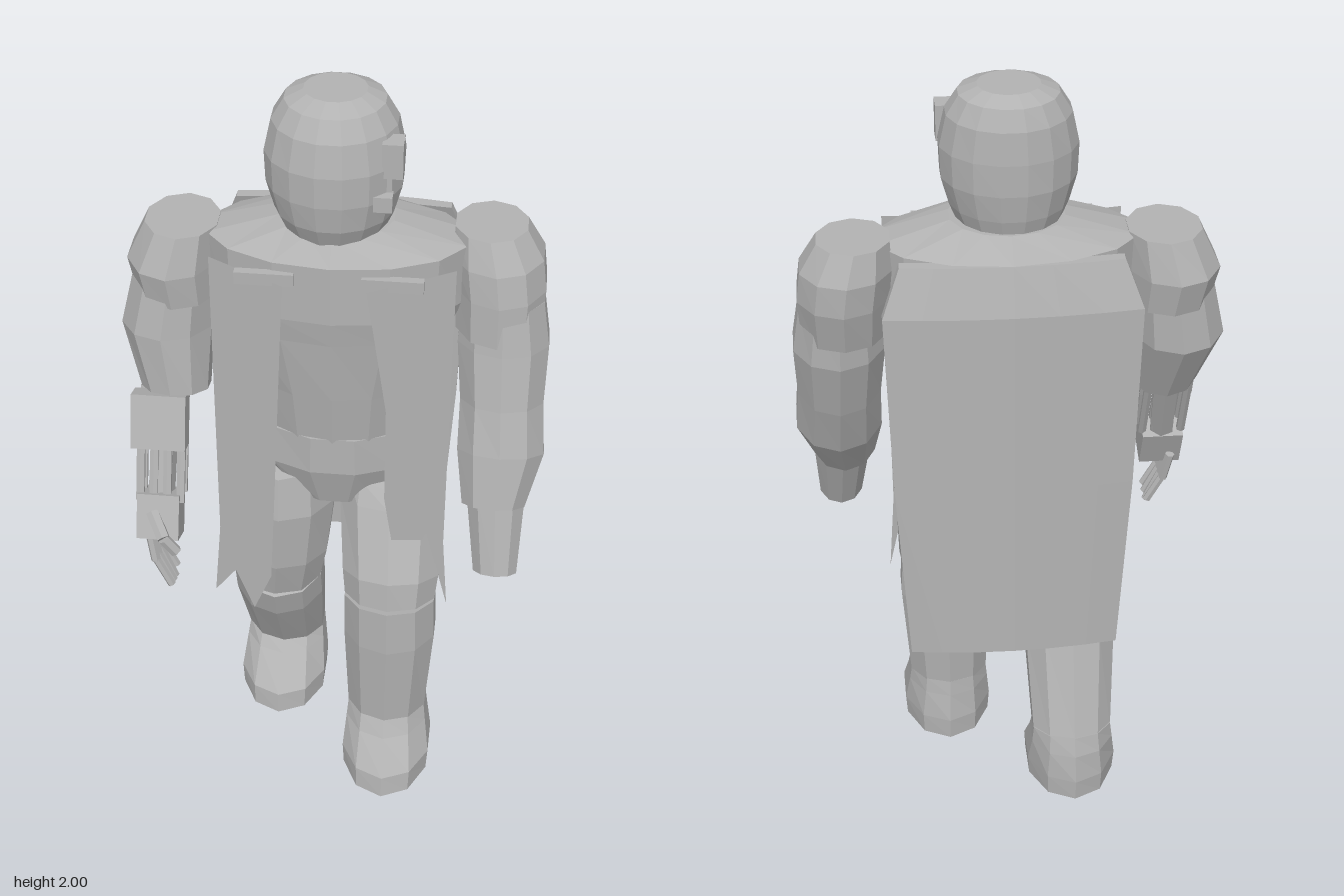
import * as THREE from 'three';

const grey = new THREE.MeshStandardMaterial({ color: 0xb2b2b2, flatShading: true });
grey.name = 'grey';
const greySheet = new THREE.MeshStandardMaterial({ color: 0xb2b2b2, flatShading: true, side: THREE.DoubleSide });
greySheet.name = 'grey cloth';

function add(parent, name, geometry, material = grey) {
  const mesh = new THREE.Mesh(geometry, material);
  mesh.name = name;
  parent.add(mesh);
  return mesh;
}

// Closed skin over rings of points, listed from top to bottom
function skin(rings) {
  const pos = [];
  const tri = (...pts) => pts.forEach((p) => pos.push(p.x, p.y, p.z));
  const n = rings[0].length;
  for (let i = 0; i < rings.length - 1; i++) {
    for (let j = 0; j < n; j++) {
      const k = (j + 1) % n, u = rings[i], l = rings[i + 1];
      tri(u[j], u[k], l[j]);
      tri(u[k], l[k], l[j]);
    }
  }
  const mid = (r) => r.reduce((s, p) => s.add(p), new THREE.Vector3()).divideScalar(n);
  const top = rings[0], bottom = rings[rings.length - 1];
  const ct = mid(top), cb = mid(bottom);
  for (let j = 0; j < n; j++) {
    const k = (j + 1) % n;
    tri(ct, top[k], top[j]);
    tri(cb, bottom[j], bottom[k]);
  }
  const g = new THREE.BufferGeometry();
  g.setAttribute('position', new THREE.Float32BufferAttribute(pos, 3));
  g.computeVertexNormals();
  return g;
}

// Elliptical sections: [x, y, z, half width, half depth, forward tilt]
function loft(sections, sides = 10) {
  const widen = 1 / Math.cos(Math.PI / sides);
  return skin(sections.map(([x, y, z, rx, rz, t = 0]) => Array.from({ length: sides }, (_, j) => {
    const a = ((j + 0.5) / sides) * Math.PI * 2, s = rz * Math.sin(a);
    return new THREE.Vector3(x + rx * widen * Math.cos(a), y + s * Math.sin(t), z + s * Math.cos(t));
  })));
}

function box(parent, name, size, at, tilt = 0) {
  const m = add(parent, name, new THREE.BoxGeometry(...size));
  m.position.set(...at);
  m.rotation.x = tilt;
  return m;
}

// Straight rod between two points
function rod(parent, name, a, b, r) {
  const p = new THREE.Vector3(...a), q = new THREE.Vector3(...b);
  const m = add(parent, name, new THREE.CylinderGeometry(r, r, p.distanceTo(q), 6));
  m.position.copy(p).lerp(q, 0.5);
  m.quaternion.setFromUnitVectors(new THREE.Vector3(0, 1, 0), q.sub(p).normalize());
}

export function createModel() {
  const model = new THREE.Group();
  model.name = 'cloakedFigure';

  // Head with eyepiece
  const head = new THREE.Group();
  head.name = 'head';
  model.add(head);
  add(head, 'skull', loft([
    [-0.005, 2, -0.04, 0.075, 0.075], [-0.005, 1.98, -0.035, 0.12, 0.12], [-0.005, 1.93, -0.03, 0.15, 0.145],
    [-0.005, 1.85, -0.025, 0.167, 0.157], [-0.005, 1.77, -0.025, 0.164, 0.157],
    [-0.005, 1.7, -0.025, 0.145, 0.147], [-0.005, 1.64, -0.03, 0.12, 0.125]], 16));
  box(head, 'eyepiece', [0.05, 0.09, 0.055], [0.14, 1.875, 0.05]);
  box(head, 'eyepieceLink', [0.02, 0.08, 0.02], [0.13, 1.81, 0.06]);
  box(head, 'mouthpiece', [0.045, 0.04, 0.035], [0.12, 1.77, 0.08]);

  // Torso and pelvis
  add(model, 'torso', loft([
    [0, 1.665, -0.04, 0.14, 0.13], [0, 1.61, -0.04, 0.32, 0.18], [0, 1.45, -0.04, 0.315, 0.18],
    [0, 1.38, -0.045, 0.285, 0.175], [0, 1.2, -0.05, 0.225, 0.16], [0, 1.05, -0.06, 0.205, 0.15]], 14));
  add(model, 'pelvis', loft([
    [0, 1.06, -0.06, 0.21, 0.155], [0, 0.95, -0.06, 0.22, 0.155], [0, 0.83, -0.06, 0.14, 0.12]], 12));

  // Legs, the left one striding forward
  const leftLeg = new THREE.Group(), rightLeg = new THREE.Group();
  leftLeg.name = 'leftLeg';
  rightLeg.name = 'rightLeg';
  model.add(leftLeg, rightLeg);
  add(leftLeg, 'thigh', loft([
    [0.15, 0.93, -0.07, 0.13, 0.145, -0.3], [0.15, 0.8, -0.04, 0.138, 0.15, 0.3],
    [0.158, 0.63, 0.07, 0.128, 0.13, 0.3], [0.158, 0.52, 0.1, 0.115, 0.115]]));
  add(leftLeg, 'shin', loft([
    [0.158, 0.57, 0.1, 0.12, 0.125, 0.15], [0.16, 0.45, 0.1, 0.122, 0.127], [0.156, 0.17, 0.1, 0.105, 0.112]]));
  add(leftLeg, 'boot', loft([
    [0.156, 0.185, 0.1, 0.105, 0.113], [0.157, 0.14, 0.11, 0.11, 0.13],
    [0.16, 0.06, 0.14, 0.12, 0.175], [0.16, 0, 0.145, 0.116, 0.18]]));
  add(rightLeg, 'thigh', loft([
    [-0.145, 0.93, -0.07, 0.13, 0.145, -0.2], [-0.145, 0.78, -0.06, 0.138, 0.155],
    [-0.155, 0.6, -0.05, 0.128, 0.132], [-0.165, 0.48, -0.06, 0.115, 0.11]]));
  add(rightLeg, 'shin', loft([
    [-0.165, 0.51, -0.06, 0.12, 0.12, -0.35], [-0.165, 0.42, -0.09, 0.12, 0.12, -0.35],
    [-0.163, 0.17, -0.2, 0.105, 0.095, -0.2]]));
  add(rightLeg, 'boot', loft([
    [-0.163, 0.185, -0.2, 0.105, 0.095, -0.1], [-0.164, 0.14, -0.19, 0.11, 0.12],
    [-0.165, 0.06, -0.15, 0.12, 0.172], [-0.165, 0, -0.145, 0.116, 0.175]]));

  // Left arm, ending in a plain stump
  const leftArm = new THREE.Group();
  leftArm.name = 'leftArm';
  model.add(leftArm);
  add(leftArm, 'shoulder', loft([
    [0.375, 1.635, -0.08, 0.088, 0.1], [0.395, 1.56, -0.075, 0.112, 0.135],
    [0.405, 1.48, -0.065, 0.112, 0.142], [0.405, 1.37, -0.045, 0.106, 0.13]]));
  add(leftArm, 'sleeve', loft([
    [0.415, 1.45, -0.05, 0.1, 0.12, 0.1], [0.42, 1.33, -0.035, 0.114, 0.13, 0.15],
    [0.425, 1.18, 0.01, 0.105, 0.125, 0.25], [0.43, 1.05, 0.06, 0.11, 0.12, 0.4],
    [0.42, 0.92, 0.125, 0.08, 0.09, 0.45]]));
  add(leftArm, 'stump', loft([
    [0.425, 0.95, 0.11, 0.075, 0.08, 0.4], [0.435, 0.745, 0.185, 0.056, 0.062, 0.4]]));

  // Right arm, with a mechanical forearm and hand
  const rightArm = new THREE.Group();
  rightArm.name = 'rightArm';
  model.add(rightArm);
  add(rightArm, 'shoulder', loft([
    [-0.385, 1.62, -0.05, 0.09, 0.11], [-0.41, 1.52, -0.05, 0.112, 0.145], [-0.4, 1.43, -0.045, 0.103, 0.13]]));
  add(rightArm, 'sleeve', loft([
    [-0.41, 1.48, -0.045, 0.1, 0.12], [-0.43, 1.33, -0.035, 0.114, 0.135, 0.1],
    [-0.41, 1.16, 0.02, 0.085, 0.095, 0.25]]));
  box(rightArm, 'forearmPlate', [0.14, 0.145, 0.06], [-0.44, 1.11, 0.115], -0.33);
  for (const x of [-0.49, -0.455, -0.42, -0.385])
    for (const dz of [0, 0.045])
      rod(rightArm, 'forearmRod', [x, 1.16, 0.035 + dz], [x, 0.9, 0.14 + dz], 0.012);
  rod(rightArm, 'forearmCore', [-0.43, 1.17, 0.04], [-0.44, 0.9, 0.15], 0.035);
  box(rightArm, 'palm', [0.11, 0.12, 0.09], [-0.44, 0.855, 0.18], -0.4);
  // Fingers fan out from front to back and curl towards the body
  for (let i = 0; i < 4; i++) {
    const z = 0.225 - i * 0.026, y = 0.66 - (i % 3) * 0.008;
    rod(rightArm, 'fingerBase', [-0.465, 0.82, z - 0.01], [-0.45, 0.735, z + 0.005], 0.013);
    rod(rightArm, 'fingerTip', [-0.45, 0.74, z + 0.005], [-0.41, y, z + 0.012], 0.011);
  }
  rod(rightArm, 'thumbBase', [-0.455, 0.88, 0.21], [-0.42, 0.835, 0.26], 0.018);
  rod(rightArm, 'thumbTip', [-0.42, 0.835, 0.26], [-0.39, 0.79, 0.255], 0.016);

  // Back cape: thin, slightly curved slab from rows of [y, rear z, half width]
  const across = [1, 0.7, 0.35, 0, -0.35, -0.7, -1];
  const cape = [[1.61, -0.222, 0.27], [1.49, -0.257, 0.315], [1, -0.268, 0.3], [0.5, -0.279, 0.27]];
  add(model, 'backCape', skin(cape.map(([y, z, w]) => {
    const point = (s, depth) => new THREE.Vector3(s * w, y, z + 0.02 * s * s + depth);
    return [...across.map((s) => point(s, 0.027)), ...across.slice().reverse().map((s) => point(s, 0))];
  })));

  // Front cloak panels with torn hems, angled inwards, and their clasps
  const panels = {
    rightFrontPanel: [[-0.3, 1.6], [-0.3, 0.75], [-0.32, 0.52], [-0.26, 0.61], [-0.21, 0.49], [-0.16, 0.62],
      [-0.145, 0.92], [-0.115, 1.56]],
    leftFrontPanel: [[0.3, 1.6], [0.295, 0.75], [0.31, 0.53], [0.25, 0.79], [0.18, 0.64], [0.14, 0.92],
      [0.14, 1.2], [0.09, 1.56]],
  };
  for (const [name, outline] of Object.entries(panels)) {
    const g = new THREE.ShapeGeometry(new THREE.Shape(outline.map((p) => new THREE.Vector2(...p))));
    const p = g.attributes.position;
    for (let i = 0; i < p.count; i++) p.setZ(i, 0.18 - 0.28 * Math.abs(p.getX(i)));
    add(model, name, g, greySheet);
  }
  box(model, 'leftClasp', [0.15, 0.033, 0.022], [0.15, 1.572, 0.13]);
  box(model, 'rightClasp', [0.145, 0.033, 0.022], [-0.16, 1.572, 0.13]);

  return model;
}
